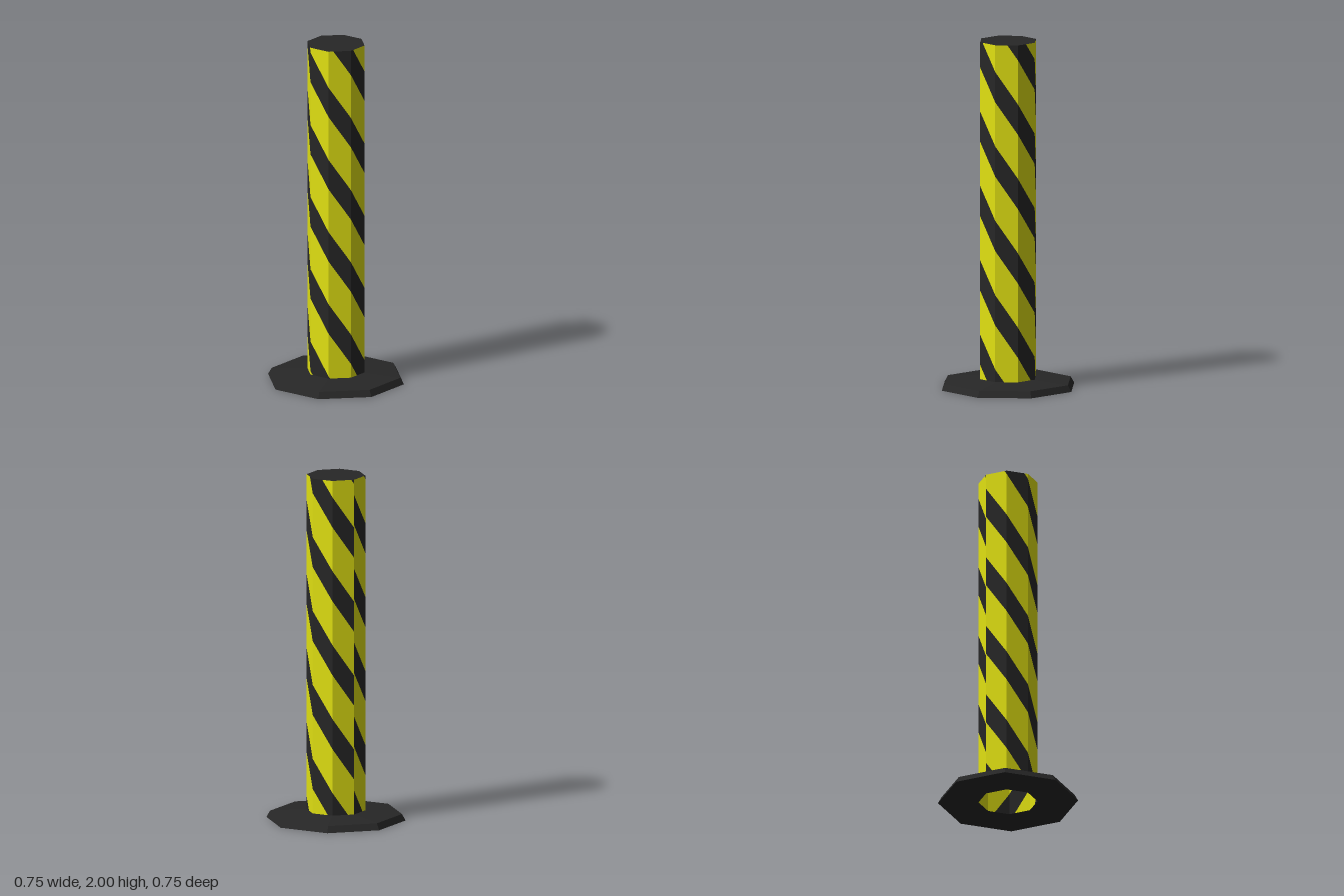
import * as THREE from 'three';

const SIDES = 8, HEIGHT = 2, RADIUS = 0.168;
const STEP = (Math.PI * 2) / SIDES;
const SEAM = THREE.MathUtils.degToRad(-160.1); // angle of the stripe seam, at the back
const PERIOD = 0.43, DARK = 0.175, DROP = 0.185; // stripe spacing, thickness, fall per side

// Keep the part of a [u, y] polygon where sign * (y - limit) >= 0
function clip(poly, limit, sign) {
  const out = [];
  poly.forEach((a, i) => {
    const b = poly[(i + 1) % poly.length];
    const da = sign * (a[1] - limit), db = sign * (b[1] - limit);
    if (da >= 0) out.push(a);
    if (da * db < 0) {
      const t = da / (da - db);
      out.push([a[0] + (b[0] - a[0]) * t, limit]);
    }
  });
  return out;
}

// Slanted bands wound around the octagonal tube; offset and thickness choose the colour
function bandGeometry(offset, thickness) {
  const pos = [];
  for (let side = 0; side < SIDES; side++) {
    const a0 = SEAM + side * STEP, a1 = a0 + STEP;
    const point = ([u, y]) => [
      RADIUS * THREE.MathUtils.lerp(Math.sin(a0), Math.sin(a1), u), y,
      RADIUS * THREE.MathUtils.lerp(Math.cos(a0), Math.cos(a1), u),
    ];
    for (let k = -8; k <= 8; k++) {
      const top = 2.03 + (4 - side) * DROP + k * PERIOD - offset;
      let poly = [[0, top - thickness], [1, top - DROP - thickness], [1, top - DROP], [0, top]];
      poly = clip(clip(poly, 0, 1), HEIGHT, -1);
      for (let i = 1; i < poly.length - 1; i++) {
        pos.push(...point(poly[0]), ...point(poly[i]), ...point(poly[i + 1]));
      }
    }
  }
  const geo = new THREE.BufferGeometry();
  geo.setAttribute('position', new THREE.Float32BufferAttribute(pos, 3));
  geo.computeVertexNormals();
  return geo;
}

// Faceted octagonal solid from a [radius, y] profile
function octagon(profile) {
  const points = profile.map(([r, y]) => new THREE.Vector2(r, y));
  const geo = new THREE.LatheGeometry(points, SIDES, SEAM).toNonIndexed();
  geo.computeVertexNormals();
  return geo;
}

export function createModel() {
  const yellow = new THREE.MeshStandardMaterial({ color: 0xe2e212, side: THREE.DoubleSide });
  yellow.name = 'safety yellow';
  const black = new THREE.MeshStandardMaterial({ color: 0x272727, side: THREE.DoubleSide });
  black.name = 'rubber black';

  const model = new THREE.Group();
  model.name = 'bollard';
  const add = (name, geometry, material) => {
    const mesh = new THREE.Mesh(geometry, material);
    mesh.name = name;
    model.add(mesh);
  };

  // Hollow post, open at the bottom
  add('postBlackStripes', bandGeometry(0, DARK), black);
  add('postYellowStripes', bandGeometry(DARK, PERIOD - DARK), yellow);
  // Closed top
  const cap = new THREE.CircleGeometry(RADIUS, SIDES, SEAM - Math.PI / 2);
  cap.rotateX(-Math.PI / 2);
  cap.translate(0, HEIGHT, 0);
  add('postCap', cap, black);
  // Foot plate with a bevelled rim and a hole for the post
  add('footPlate', octagon([[RADIUS, 0], [0.399, 0], [0.378, 0.037], [RADIUS, 0.053]]), black);

  return model;
}
